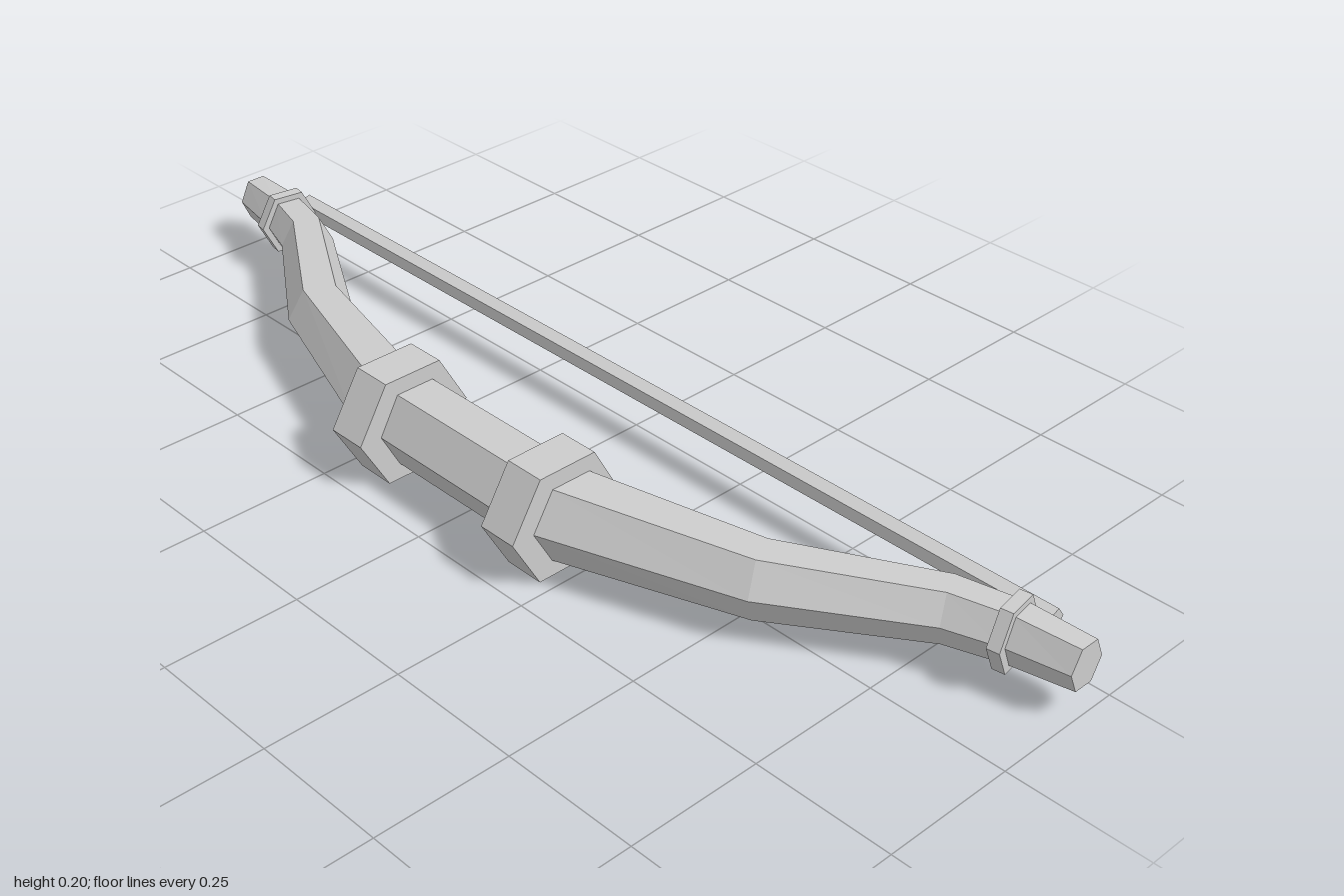
import * as THREE from 'three';

const grey = new THREE.MeshStandardMaterial({ color: 0xcccccc, flatShading: true });
grey.name = 'plain grey';
const MID_Y = 0.0985;

// Closed loft along x. Section: { x, z, rz (half depth), ry (corner radius), turn (degrees about y) }
function loft(name, sections, sides = 6, start = 0) {
  const ring = ({ x, z, rz, ry = rz, turn = 0 }) => {
    const t = THREE.MathUtils.degToRad(turn);
    return Array.from({ length: sides }, (_, k) => {
      const a = start + (k / sides) * Math.PI * 2;
      const d = Math.cos(a) * rz;
      return [x + Math.sin(t) * d, MID_Y + Math.sin(a) * ry, z + Math.cos(t) * d];
    });
  };
  const rings = sections.map(ring);
  const pos = [];
  const tri = (a, b, c) => pos.push(...a, ...b, ...c);
  for (let i = 0; i < rings.length - 1; i++) {
    const a = rings[i], b = rings[i + 1];
    for (let k = 0; k < sides; k++) {
      const n = (k + 1) % sides;
      tri(a[k], b[k], a[n]);
      tri(b[k], b[n], a[n]);
    }
  }
  // End caps
  const first = rings[0], last = rings[rings.length - 1];
  for (let k = 1; k < sides - 1; k++) {
    tri(first[0], first[k], first[k + 1]);
    tri(last[0], last[k + 1], last[k]);
  }
  const geo = new THREE.BufferGeometry();
  geo.setAttribute('position', new THREE.Float32BufferAttribute(pos, 3));
  geo.computeVertexNormals();
  const mesh = new THREE.Mesh(geo, grey);
  mesh.name = name;
  return mesh;
}

export function createModel() {
  const bow = new THREE.Group();
  bow.name = 'bow';

  // Bow stave: one half from the grip to the tip, mirrored across x
  const half = [
    { x: 0.212, z: 0.125, rz: 0.077, ry: 0.079, turn: 9 },
    { x: 0.541, z: 0.024, rz: 0.06, ry: 0.066, turn: 25 },
    { x: 0.78, z: -0.129, rz: 0.05, ry: 0.056, turn: 25 },
    { x: 0.885, z: -0.159, rz: 0.045, ry: 0.052, turn: 10 },
    { x: 1, z: -0.172, rz: 0.037, ry: 0.045, turn: 0 },
  ];
  const mirrored = half.map((s) => ({ ...s, x: -s.x, turn: -s.turn })).reverse();
  bow.add(loft('stave', [...mirrored, ...half]));

  for (const [label, s] of [['left', 1], ['right', -1]]) {
    // Heavy hexagonal collar beside the grip
    const collar = { z: 0.129, rz: 0.116, ry: 0.1137 };
    bow.add(loft(label + 'GripCollar', [
      { ...collar, x: s * 0.188 - 0.037 },
      { ...collar, x: s * 0.188 + 0.037 },
    ]));

    // Thin tip ring holding the string, square to the limb
    const turn = s * 9;
    const ring = { rz: 0.059, ry: 0.0655, turn };
    bow.add(loft(label + 'TipRing', [-0.011, 0.011].map((d) => ({
      ...ring, x: s * 0.879 + d, z: -0.156 - s * d * 0.16,
    }))));
  }

  // Five-sided string, pointing backward
  const cord = { z: -0.225, rz: 0.02 };
  bow.add(loft('string', [{ ...cord, x: -0.905 }, { ...cord, x: 0.905 }], 5, Math.PI));

  return bow;
}
